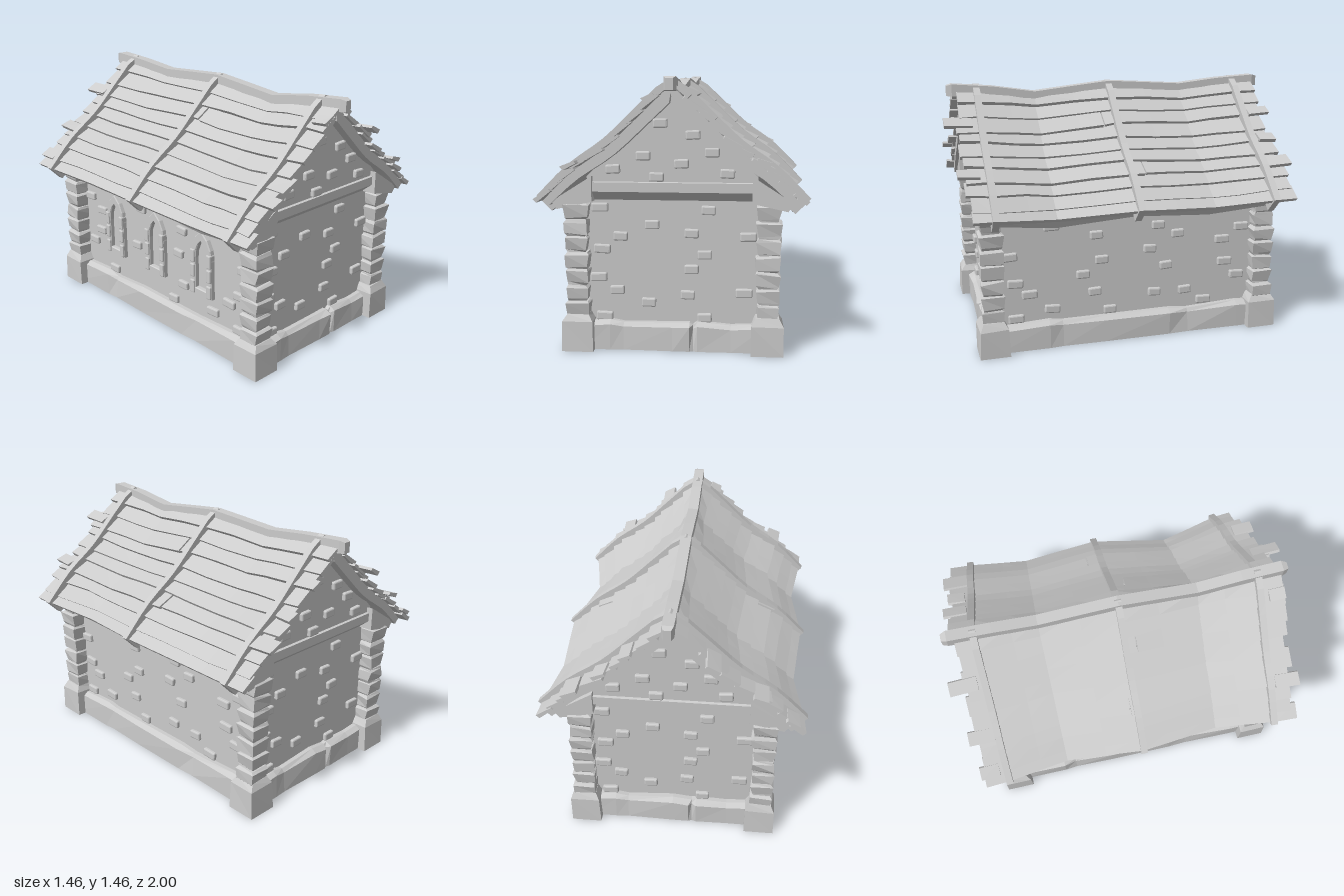
import * as THREE from 'three';
import { RoundedBoxGeometry } from 'three/addons/geometries/RoundedBoxGeometry.js';

const mat = new THREE.MeshStandardMaterial({ color: 0xcccccc, flatShading: true, side: THREE.DoubleSide });
const V = (x, y, z) => new THREE.Vector3(x, y, z);
let seed = 7;
const rnd = (a, b) => {
  seed = (seed * 16807) % 2147483647;
  return a + (b - a) * seed / 2147483647;
};

function add(parent, geo, name) {
  const mesh = new THREE.Mesh(geo, mat);
  mesh.name = name;
  parent.add(mesh);
  return mesh;
}

// Closed solid through rings with an equal, even number of corners.
function loft(rings) {
  const n = rings[0].length, idx = [], pts = rings.flat();
  const quad = (a, b, c, d) => idx.push(a, b, c, a, c, d);
  for (let r = 0; r < rings.length - 1; r++)
    for (let i = 0; i < n; i++) {
      const j = (i + 1) % n;
      quad(r * n + i, r * n + j, (r + 1) * n + j, (r + 1) * n + i);
    }
  const e = (rings.length - 1) * n;
  for (let i = 0; i < n / 2 - 1; i++) {
    quad(n - 1 - i, n - 2 - i, i + 1, i);
    quad(e + i, e + i + 1, e + n - 2 - i, e + n - 1 - i);
  }
  // turn the faces outward if the enclosed volume is negative
  let vol = 0;
  for (let k = 0; k < idx.length; k += 3)
    vol += pts[idx[k]].dot(pts[idx[k + 1]].clone().cross(pts[idx[k + 2]]));
  if (vol < 0) idx.reverse();
  const g = new THREE.BufferGeometry().setFromPoints(pts);
  g.setIndex(idx);
  g.computeVertexNormals();
  return g;
}

// Roof surface: slope curve, raised by h along its normal, sagging along z.
const slope = new THREE.CatmullRomCurve3([
  V(0, 1.425, 0), V(0.17, 1.262, 0), V(0.34, 1.102, 0), V(0.53, 0.967, 0), V(0.7, 0.8, 0)]);
const sagKeys = [[-1, 0], [-0.8, 0.008], [-0.45, 0.042], [0, 0.012], [0.45, 0.06], [0.8, 0.01], [1, 0]];
function sag(z) {
  for (let i = 1; i < sagKeys.length; i++) {
    const [a, u] = sagKeys[i - 1], [b, v] = sagKeys[i];
    if (z <= b) return THREE.MathUtils.lerp(u, v, 0.5 * ((z - a) / (b - a) + THREE.MathUtils.smoothstep(z, a, b)));
  }
  return 0;
}
// the eave bends inward more on diagonally opposite quarters
const inward = (side, z) => sag(z) * THREE.MathUtils.lerp(0.5, 1.1, THREE.MathUtils.smoothstep(side * z, -0.3, 0.3));
function roofPoint(side, t, h, z) {
  const p = slope.getPoint(t), d = slope.getTangent(t), k = h - sag(z);
  const x = t > 0 ? Math.max(0, p.x - d.y * k - inward(side, z) * p.x) : 0;
  return V(side * x, p.y + d.x * k, z);
}
const stations = (a, b) => [a, ...[-0.8, -0.6, -0.45, -0.22, 0, 0.22, 0.45, 0.6, 0.8].filter(z => z > a + 0.03 && z < b - 0.03), b];

function plank(parent, side, t0, t1, z0, z1, lift) {
  const a = rnd(-0.016, 0.016), b = rnd(-0.016, 0.016), h = lift + rnd(-0.002, 0.008);
  const rings = stations(z0, z1).map(z => {
    const w = a * z + rnd(-0.007, 0.007), u = Math.max(0, t0 + w), v = Math.min(0.99, t1 + w + b * z);
    return [roofPoint(side, u, h - 0.008, z), roofPoint(side, v, h + 0.004, z),
      roofPoint(side, v, h + 0.03, z), roofPoint(side, u, h + 0.008, z)];
  });
  add(parent, loft(rings), 'roofPlank');
}

// loose boards past the gable ends: side, slope position, z range
const looseBoards = [[-1, 0.27, -0.998, -0.84], [-1, 0.62, -0.965, -0.82], [-1, 0.86, -0.95, -0.84], [-1, 0.68, 0.82, 0.96],
  [-1, 0.1, 0.84, 0.93], [1, 0.23, 0.84, 0.998], [1, 0.26, -0.96, -0.83], [1, 0.66, -0.965, -0.82], [1, 0.64, 0.84, 0.96], [1, 0.45, -0.94, -0.84]];

function buildRoof(root) {
  const roof = new THREE.Group();
  roof.name = 'roof';
  root.add(roof);
  const ts = [...Array(13).keys()].map(i => i / 12);
  const rows = 10;
  for (const s of [-1, 1]) {
    const zs = stations(-0.885, 0.885);
    add(roof, loft(ts.map(t => [
      ...zs.map(z => roofPoint(s, t * 0.965, 0, z)),
      ...[...zs].reverse().map(z => roofPoint(s, t * 0.965, -0.06 + 0.02 * t * t, z))])), 'roofDeck');
    // eave beam below the deck
    add(roof, loft(zs.map(z => [[0.42, 0.95], [0.42, 0.815], [0.61, 0.775], [0.64, 0.815]]
      .map(([x, y]) => V(s * (x - (sag(z) * 0.5 + inward(s, z) * 0.6) * (x - 0.42) * 5), y - sag(z), z * 0.98)))), 'eaveBeam');
    // overlapping planks, some in two pieces
    for (let i = 0; i < rows; i++) {
      const t0 = i / rows + rnd(-0.01, 0.01), t1 = (i + 1.22) / rows;
      const z0 = -rnd(0.9, 0.935), z1 = rnd(0.9, 0.935);
      if (i % 4 === 2) {
        const cut = rnd(-0.1, 0.1);
        plank(roof, s, t0, t1, z0, cut - 0.004, 0);
        plank(roof, s, t0 + 0.015, t1 + 0.015, cut + 0.004, z1, 0.003);
      } else plank(roof, s, t0, t1, z0, z1, 0);
    }
    // straps running down the slope
    for (const z of [-0.8, 0, 0.79]) {
      add(roof, loft(ts.map(t => [[0.01, -1], [0.01, 1], [0.054, 1], [0.054, -1]]
        .map(([h, d]) => roofPoint(s, t, h, z + d * 0.019)))), 'roofStrap');
      add(roof, loft([-0.019, 0.019].map(d => [roofPoint(s, 0.95, -0.065, z + d), roofPoint(s, 1, -0.06, z + d),
        roofPoint(s, 1, 0.05, z + d), roofPoint(s, 0.95, 0.05, z + d)])), 'strapEnd');
    }
  }
  for (const [s, t, a, b] of looseBoards) plank(roof, s, t, t + 0.08, a, b, 0.016);
  const ridge = [-0.97, -0.94, -0.7, -0.45, -0.2, 0, 0.2, 0.45, 0.7, 0.93, 0.96].map((z, i, l) => {
    const w = i === 0 || i === l.length - 1 ? 0.02 : 0.031, y = 1.465 - sag(z);
    return [V(-w, y - 0.072, z), V(w, y - 0.072, z), V(w, y - 0.031 + w * 0.9, z), V(-w, y - 0.031 + w * 0.9, z)];
  });
  add(roof, loft(ridge), 'ridgeBeam');
}

const rect = (cx, cz, hx, hz, y, j = 0) => [[-1, -1], [1, -1], [1, 1], [-1, 1]]
  .map(([a, b]) => V(cx + a * (hx + rnd(-j, j)), y + rnd(-j, j), cz + b * (hz + rnd(-j, j))));

// Corner post: a chamfered foot with rough stones stacked on it.
function buildPillar(root, sx, sz) {
  const pillar = new THREE.Group();
  pillar.name = 'cornerPillar';
  root.add(pillar);
  const X = sx * 0.505, Z = sz * 0.805;
  add(pillar, loft([rect(X, Z, 0.085, 0.085, 0), rect(X, Z, 0.081, 0.081, 0.16, 0.005), rect(X, Z, 0.06, 0.06, 0.2, 0.004)]), 'pillarFoot');
  const n = 7, h = 0.62 / n;
  for (let i = 0; i < n; i++) {
    const y = 0.18 + i * h, r = rnd(0.056, 0.062), o = rnd(-0.005, 0.005);
    add(pillar, loft([rect(X + o, Z, r - 0.01, r - 0.01, y, 0.004), rect(X + o, Z, r - 0.002, r - 0.002, y + 0.014, 0.007),
      rect(X + o, Z, r + 0.004, r + 0.004, y + h - 0.012, 0.007), rect(X + o, Z, r - 0.007, r - 0.007, y + h, 0.004)]), 'pillarStone');
  }
}

// Rough plinth course along one wall; dents are [position, depth].
const endDents = [[-1, 0], [-0.7, 0], [-0.55, -0.012], [0, 0.004], [0.19, 0.006], [0.23, -0.018], [0.28, 0.004], [0.65, -0.004], [1, 0]];
const sideDents = [[-1, 0], [-0.62, 0.004], [-0.52, -0.014], [-0.2, 0], [0.3, 0.003], [0.45, -0.012], [0.85, 0.003], [1, 0]];
function buildPlinth(root, half, out, angle, dents) {
  const rings = dents.map(([k, dent]) => {
    const d = out + dent + rnd(-0.006, 0.004), y = 0.132 + dent * 0.6 + rnd(-0.008, 0.008), x = k * half;
    return [V(x, 0, out - 0.2), V(x, 0, out + dent * 0.4), V(x, y, d), V(x, y + 0.02, out - 0.03), V(x, y + 0.022, out - 0.1), V(x, y, out - 0.2)];
  });
  add(root, loft(rings), 'plinth').rotation.y = angle;
}

const endBricks = [[-.39, .77], [.19, .76], [-.11, .68], [-.28, .615], [.1, .635], [.4, .62], [-.38, .545], [.17, .52],
  [.1, .44], [-.4, .39], [-.3, .32], [.08, .3], [.38, .315], [-.13, .255], [-.37, .175], [.17, .175]];
const gableBricks = [[-.06, 1.22], [.11, 1.16], [.21, 1.07], [-.15, 1.05], [.05, 1.01], [-.31, .98], [-.08, .94], [.29, .96]];
// [z, y] on the long walls
const sideBricks = [[.46, .71], [-.17, .67], [-.29, .61], [.2, .64], [-.69, .62], [.7, .55], [.17, .49], [-.12, .53],
  [-.57, .55], [-.22, .42], [-.59, .41], [.28, .41], [.67, .39], [.59, .32], [.21, .3], [-.67, .32], [-.15, .26],
  [-.34, .255], [.46, .22], [.67, .18], [.12, .18], [-.46, .18], [-.48, .76]];
const windowZ = [-0.42, -0.03, 0.38];

function bricks(parent, list, depth) {
  for (const [x, y] of list) {
    const b = add(parent, new RoundedBoxGeometry(Math.abs(x) > 0.36 ? 0.09 : 0.077, 0.048, 0.05, 1, 0.008), 'brick');
    b.position.set(x, y, depth);
    b.rotation.z = rnd(-0.06, 0.06);
  }
}

function arch(w, y0, y1, y2) {
  const s = new THREE.Shape();
  s.moveTo(-w, y0).lineTo(w, y0).lineTo(w, y1);
  s.quadraticCurveTo(w, y1 + (y2 - y1) * 0.65, 0, y2);
  s.quadraticCurveTo(-w, y1 + (y2 - y1) * 0.65, -w, y1);
  return s;
}

export function createModel() {
  const root = new THREE.Group();
  root.name = 'stoneHouse';

  add(root, new THREE.BoxGeometry(0.97, 0.84, 1.57), 'walls').position.y = 0.42;
  for (const sx of [-1, 1]) for (const sz of [-1, 1]) buildPillar(root, sx, sz);
  for (const k of [0, 1]) {
    buildPlinth(root, 0.48, 0.84, k * Math.PI, endDents);
    buildPlinth(root, 0.78, 0.54, Math.PI / 2 + k * Math.PI, sideDents);
  }

  // gable ends, front and back alike
  const gable = new THREE.Shape([[-.45, .85], [.45, .85], [.45, .94], [.4, .99], [.24, 1.11], [0, 1.36], [-.24, 1.11], [-.4, .99], [-.45, .94]]
    .map(p => new THREE.Vector2(...p)));
  for (const k of [0, 1]) {
    const end = new THREE.Group();
    end.name = k ? 'backEnd' : 'frontEnd';
    end.rotation.y = k * Math.PI;
    root.add(end);
    add(end, new THREE.ExtrudeGeometry(gable, { depth: 0.12, bevelEnabled: false }), 'gable').position.z = 0.71;
    add(end, loft([-0.45, 0.45].map(x => [V(x, 0.81, 0.74), V(x, 0.81, 0.785), V(x, 0.86, 0.845), V(x, 0.91, 0.845), V(x, 0.915, 0.82), V(x, 0.915, 0.74)])), 'gableBeam');
    bricks(end, endBricks, 0.78);
    bricks(end, gableBricks, 0.825);
  }

  // long walls; the right one has three pointed windows
  for (const s of [-1, 1]) {
    const wall = new THREE.Group();
    wall.name = s > 0 ? 'leftWall' : 'rightWall';
    wall.rotation.y = s * Math.PI / 2;
    root.add(wall);
    const list = sideBricks.filter(([z, y]) => s > 0 || y < 0.25 || y > 0.72 || windowZ.every(w => Math.abs(w - z) > 0.13));
    bricks(wall, list.map(([z, y]) => [-s * z, y]), 0.48);
    if (s > 0) continue;
    for (const z of windowZ) {
      const frame = arch(0.08, 0.3, 0.53, 0.69);
      frame.holes.push(arch(0.052, 0.33, 0.52, 0.64));
      add(wall, new THREE.ExtrudeGeometry(frame, { depth: 0.035, bevelSize: 0.005, bevelThickness: 0.006, bevelSegments: 1, curveSegments: 3 }), 'windowFrame').position.set(z, 0, 0.473);
      for (const q of [-1, 1]) for (const y of [0.34, 0.44, 0.53])
        add(wall, new RoundedBoxGeometry(0.034, 0.08, 0.045, 1, 0.006), 'windowStone').position.set(z + q * 0.067, y, 0.5);
    }
  }

  buildRoof(root);
  return root;
}
